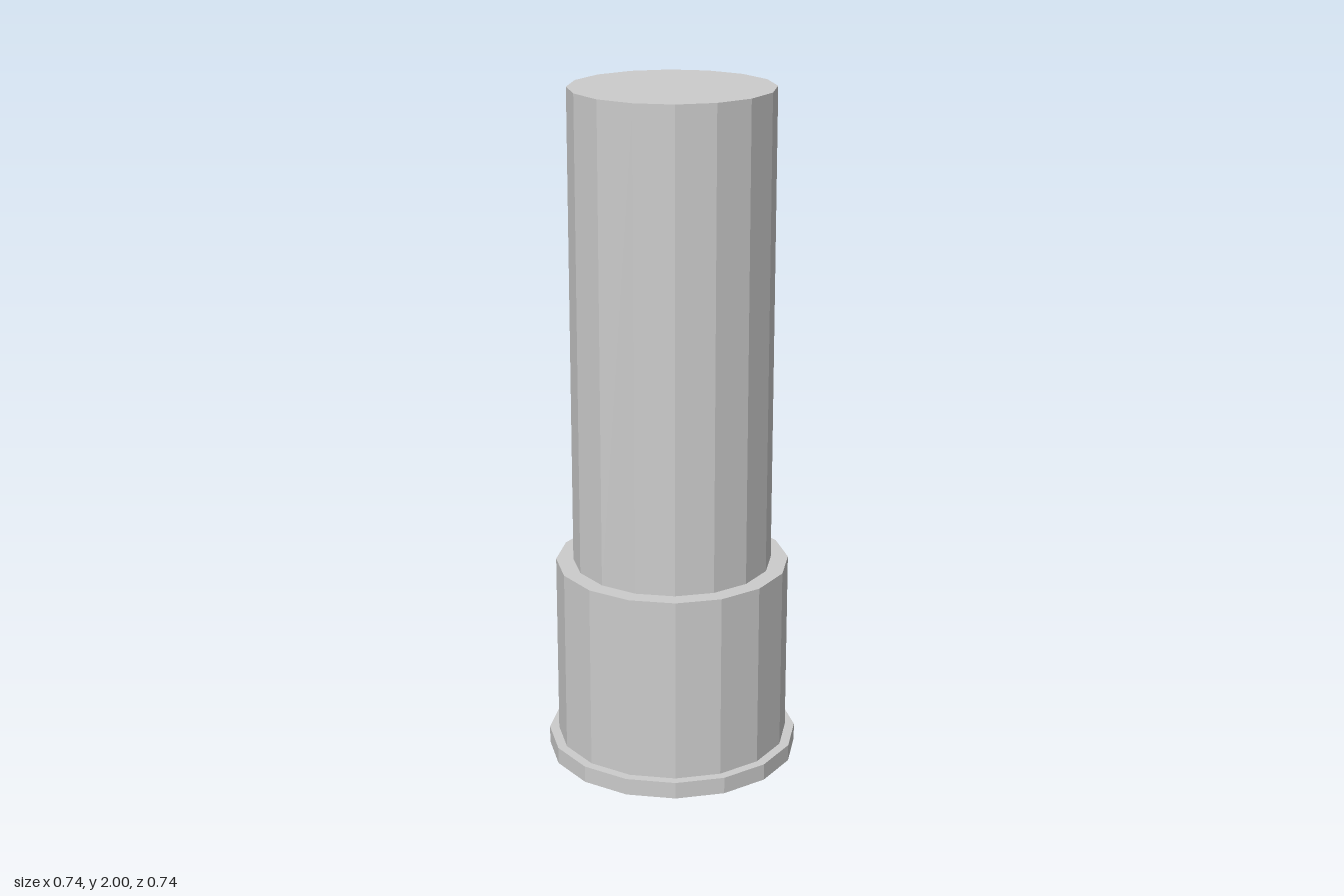
import * as THREE from 'three';

const SIDES = 16;

export function createModel() {
  const group = new THREE.Group();
  const material = new THREE.MeshStandardMaterial({ color: 0xcccccc, flatShading: true });

  // Stacked faceted cylinders: name, radius, bottom, top
  const tiers = [
    ['baseFlange', 0.372, 0, 0.05],
    ['lowerCollar', 0.344, 0.05, 0.6],
    ['upperShaft', 0.293, 0.6, 2],
  ];

  for (const [name, radius, bottom, top] of tiers) {
    const height = top - bottom;
    const mesh = new THREE.Mesh(new THREE.CylinderGeometry(radius, radius, height, SIDES), material);
    mesh.name = name;
    mesh.position.y = bottom + height / 2;
    group.add(mesh);
  }
  return group;
}
